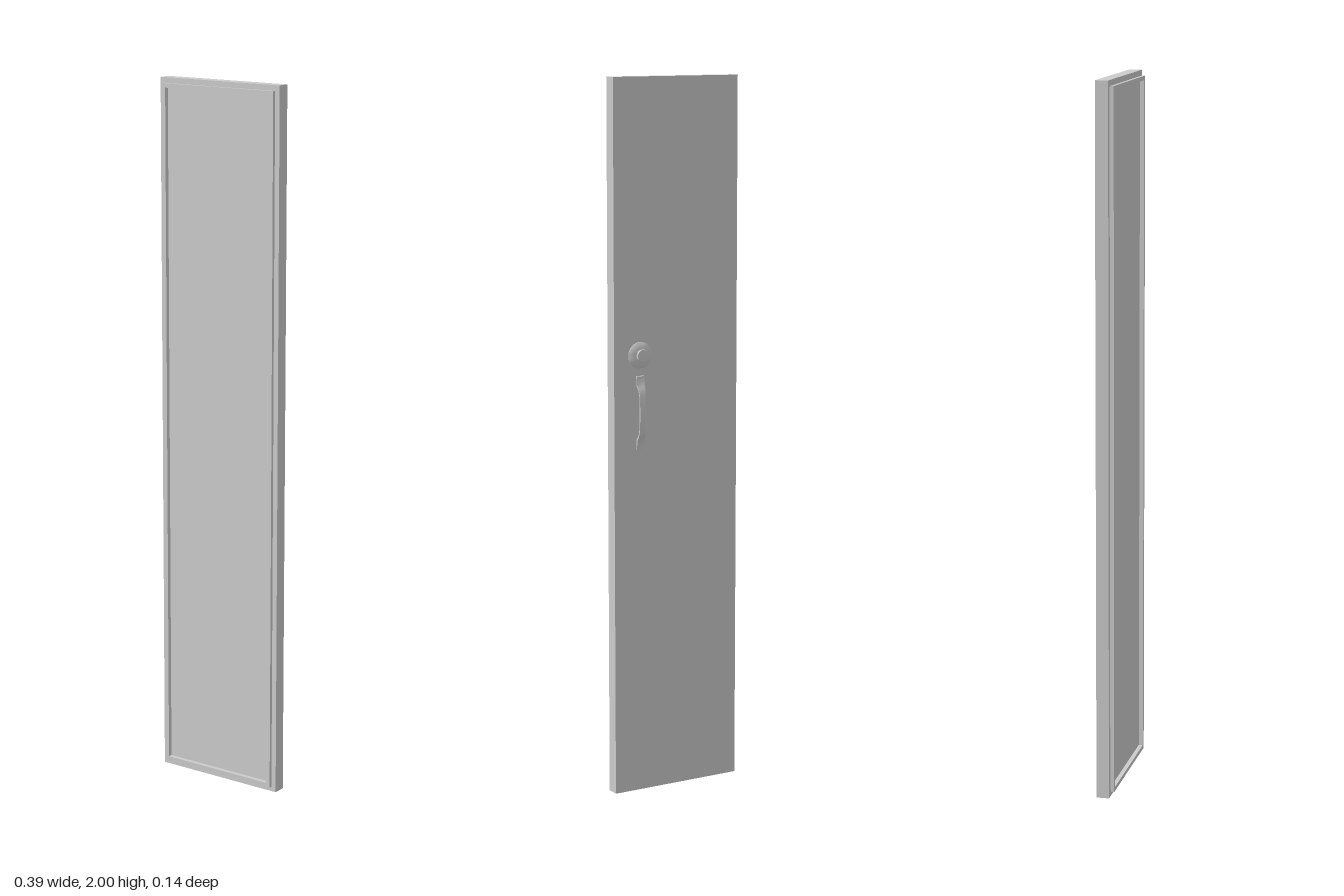
import * as THREE from 'three';
import { toCreasedNormals } from 'three/addons/utils/BufferGeometryUtils.js';

const material = new THREE.MeshStandardMaterial({ color: 0xcccccc });

function addMesh(parent, name, geometry, x = 0, y = 0, z = 0) {
  const mesh = new THREE.Mesh(geometry, material);
  mesh.name = name;
  mesh.position.set(x, y, z);
  parent.add(mesh);
  return mesh;
}

// Rectangular ring, centred on x and y, rising from z = 0
function ring(w, h, border, depth) {
  const trace = (path, a, b) => path.moveTo(-a, -b).lineTo(a, -b).lineTo(a, b).lineTo(-a, b).closePath();
  const shape = new THREE.Shape();
  trace(shape, w / 2, h / 2);
  const hole = new THREE.Path();
  trace(hole, w / 2 - border, h / 2 - border);
  shape.holes.push(hole);
  return new THREE.ExtrudeGeometry(shape, { depth, bevelEnabled: false });
}

// Bowed strap: side profile extruded across its width, narrower in the middle
function strapHandle() {
  const outer = [[0, -0.103], [0.004, -0.102], [0.005, -0.078], [0.011, -0.068], [0.015, -0.05], [0.0165, 0]];
  const inner = [[0.012, 0], [0.011, -0.046], [0.008, -0.062], [0.002, -0.072], [0, -0.075]];
  const mirror = (pts) => pts.map(([a, b]) => [a, -b]).reverse();
  const points = [...outer, ...mirror(outer).slice(1), ...mirror(inner).slice(0, -1), ...inner];
  const shape = new THREE.Shape(points.map(([a, b]) => new THREE.Vector2(a, b)));
  const geo = new THREE.ExtrudeGeometry(shape, { depth: 0.024, bevelEnabled: false });
  geo.translate(0, 0, -0.012);
  const p = geo.attributes.position;
  for (let i = 0; i < p.count; i++) {
    const end = THREE.MathUtils.smoothstep(Math.abs(p.getY(i)), 0.05, 0.085);
    p.setZ(i, p.getZ(i) * (0.72 + 0.28 * end));
  }
  geo.rotateY(Math.PI / 2);
  return toCreasedNormals(geo, 0.6);
}

export function createModel() {
  const model = new THREE.Group();
  model.name = 'door';

  // The whole leaf stands slightly swung open
  const leaf = new THREE.Group();
  leaf.name = 'leaf';
  leaf.rotation.y = -0.237;
  leaf.position.z = -0.005;
  model.add(leaf);

  addMesh(leaf, 'panel', new THREE.BoxGeometry(0.395, 2, 0.036), 0, 1, 0);

  // Raised seal around the front face, on a narrower neck
  addMesh(leaf, 'sealNeck', ring(0.362, 1.962, 0.008, 0.004), 0, 1, 0.0178);
  addMesh(leaf, 'seal', ring(0.37, 1.97, 0.012, 0.009), 0, 1, 0.021);

  // Round knob and its rose on the back
  const profile = [[0, 0], [0.037, 0], [0.037, 0.002], [0.034, 0.004], [0.023, 0.007], [0.015, 0.008],
    [0.014, 0.012], [0.018, 0.013], [0.0185, 0.017], [0.017, 0.019], [0, 0.0195]];
  const knob = new THREE.LatheGeometry(profile.map(([r, h]) => new THREE.Vector2(r, h)), 32);
  knob.rotateX(-Math.PI / 2);
  addMesh(leaf, 'knob', toCreasedNormals(knob, 0.6), 0.116, 1.243, -0.018);

  // Pull handle below the knob
  addMesh(leaf, 'pullHandle', strapHandle(), 0.116, 1.083, -0.018);

  return model;
}
